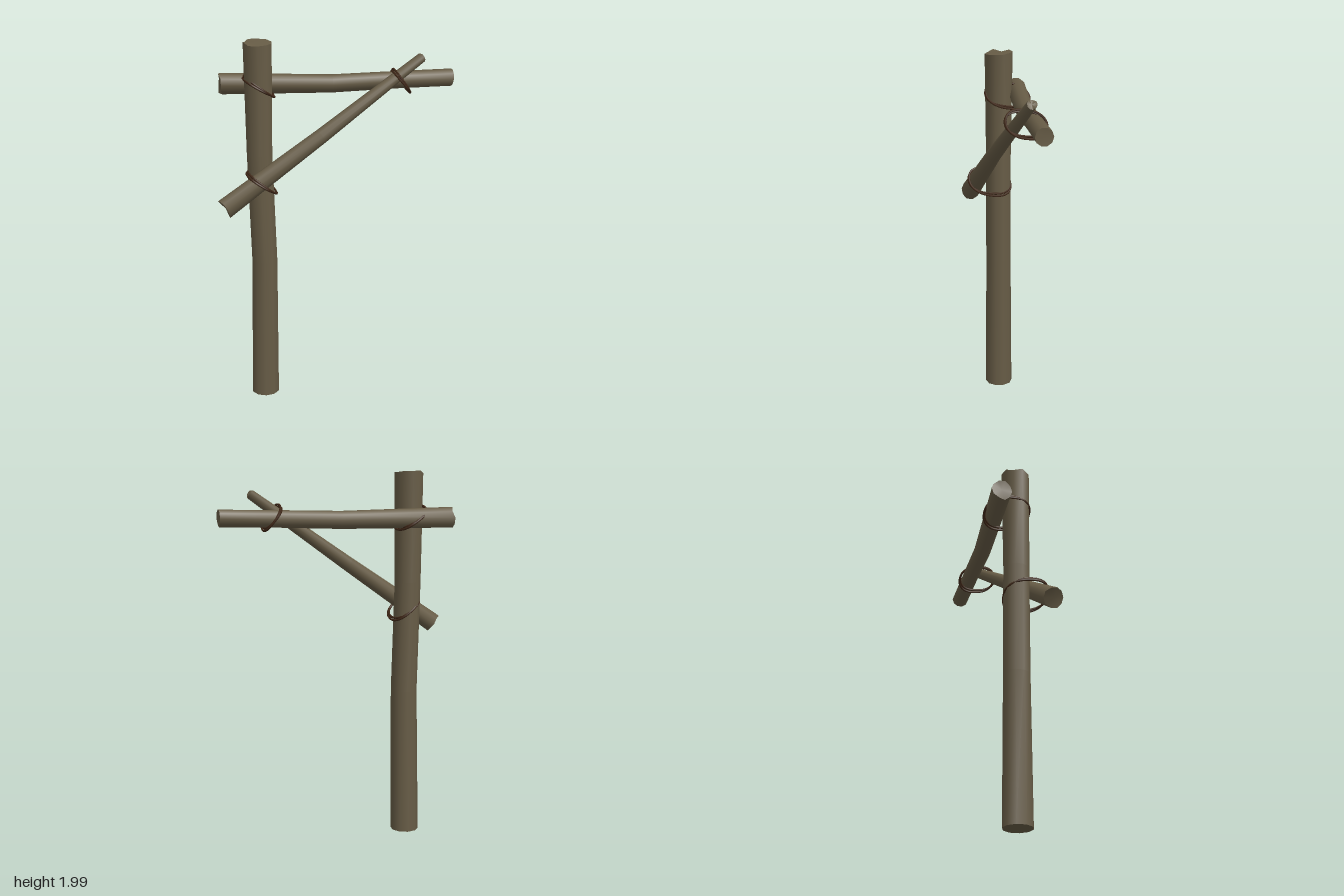
import * as THREE from 'three';
import { toCreasedNormals } from 'three/addons/utils/BufferGeometryUtils.js';

const SIDES = 10;
// Repeatable uneven value from 0 to 1
const rough = (i, seed) => {
  const s = Math.sin(i * 12.99 + seed * 78.23) * 43758.55;
  return s - Math.floor(s);
};

// Log: stations are [x, y, z, radius]; ends are roughly cut by the given depths
function log(name, stations, cutStart, cutEnd, seed, material) {
  const rows = stations.length - 1;
  const points = stations.map(s => new THREE.Vector3(s[0], s[1], s[2]));
  const axis = points[rows].clone().sub(points[0]).normalize();
  const turn = new THREE.Quaternion().setFromUnitVectors(new THREE.Vector3(0, 1, 0), axis);
  const geometry = new THREE.CylinderGeometry(1, 1, 1, SIDES, rows);
  const pos = geometry.attributes.position;
  const v = new THREE.Vector3();
  for (let i = 0; i < pos.count; i++) {
    v.fromBufferAttribute(pos, i);
    const row = Math.round((v.y + 0.5) * rows);
    const centre = Math.hypot(v.x, v.z) < 0.1;
    const angle = Math.atan2(v.z, v.x) / (2 * Math.PI) * SIDES;
    const step = centre ? 20 : (Math.round(angle) + SIDES) % SIDES;
    const r = stations[row][3];
    let along = 0;
    if (row === 0) along = cutStart * rough(step, seed);
    if (row === rows) along = -cutEnd * rough(step, seed + 5);
    v.set(v.x * r, along, v.z * r).applyQuaternion(turn).add(points[row]);
    pos.setXYZ(i, v.x, v.y, v.z);
  }
  const mesh = new THREE.Mesh(toCreasedNormals(geometry, 0.75), material);
  mesh.name = name;
  return mesh;
}

// Lashing: two thin slanted loops; across and deep are the half axes of the oval
function lashing(name, centre, across, deep, material) {
  const group = new THREE.Group();
  group.name = name;
  const soft = t => Math.sign(t) * Math.abs(t) ** 0.85;
  for (let k = 0; k < 2; k++) {
    const points = [];
    for (let i = 0; i < 24; i++) {
      const a = i / 24 * Math.PI * 2;
      const c = soft(Math.cos(a)), s = soft(Math.sin(a));
      points.push(new THREE.Vector3(
        centre[0] + across[0] * c + k * 0.006,
        centre[1] + across[1] * c + deep[0] * s - k * 0.012 * Math.cos(a + 0.5),
        centre[2] + deep[1] * s - k * 0.003));
    }
    const curve = new THREE.CatmullRomCurve3(points, true);
    const strand = new THREE.Mesh(new THREE.TubeGeometry(curve, 40, 0.006, 6, true), material);
    strand.name = 'ropeStrand';
    group.add(strand);
  }
  return group;
}

export function createModel() {
  const wood = new THREE.MeshStandardMaterial({ color: 0x675c46 });
  wood.name = 'weathered wood';
  const rope = new THREE.MeshStandardMaterial({ color: 0x402818 });
  rope.name = 'dark rope';

  const model = new THREE.Group();
  model.name = 'woodenPostWithArm';
  model.add(
    // Upright, horizontal arm and diagonal brace
    log('post', [
      [-0.412, 0, -0.016, 0.077], [-0.4, 0.8, -0.014, 0.071],
      [-0.414, 1.4, -0.016, 0.07], [-0.412, 2, -0.018, 0.077]], 0, 0.025, 1, wood),
    log('crossbeam', [
      [-0.62, 1.75, -0.135, 0.056], [-0.02, 1.743, -0.12, 0.048],
      [0.3, 1.753, -0.13, 0.046], [0.625, 1.76, -0.138, 0.046]], 0.02, 0.012, 2, wood),
    log('brace', [
      [-0.61, 1.143, 0.135, 0.054], [-0.09, 1.5, 0.034, 0.04],
      [0.462, 1.885, -0.1, 0.026]], 0.025, 0.02, 3, wood),
    // Rope bindings where the logs cross
    lashing('beamLashing', [-0.412, 1.747, -0.065], [0.078, -0.046], [0.012, 0.122], rope),
    lashing('braceLashing', [-0.41, 1.256, 0.037], [0.075, -0.05], [0.015, 0.118], rope),
    lashing('armLashing', [0.337, 1.758, -0.083], [0.044, -0.052], [0.008, 0.103], rope));
  return model;
}
